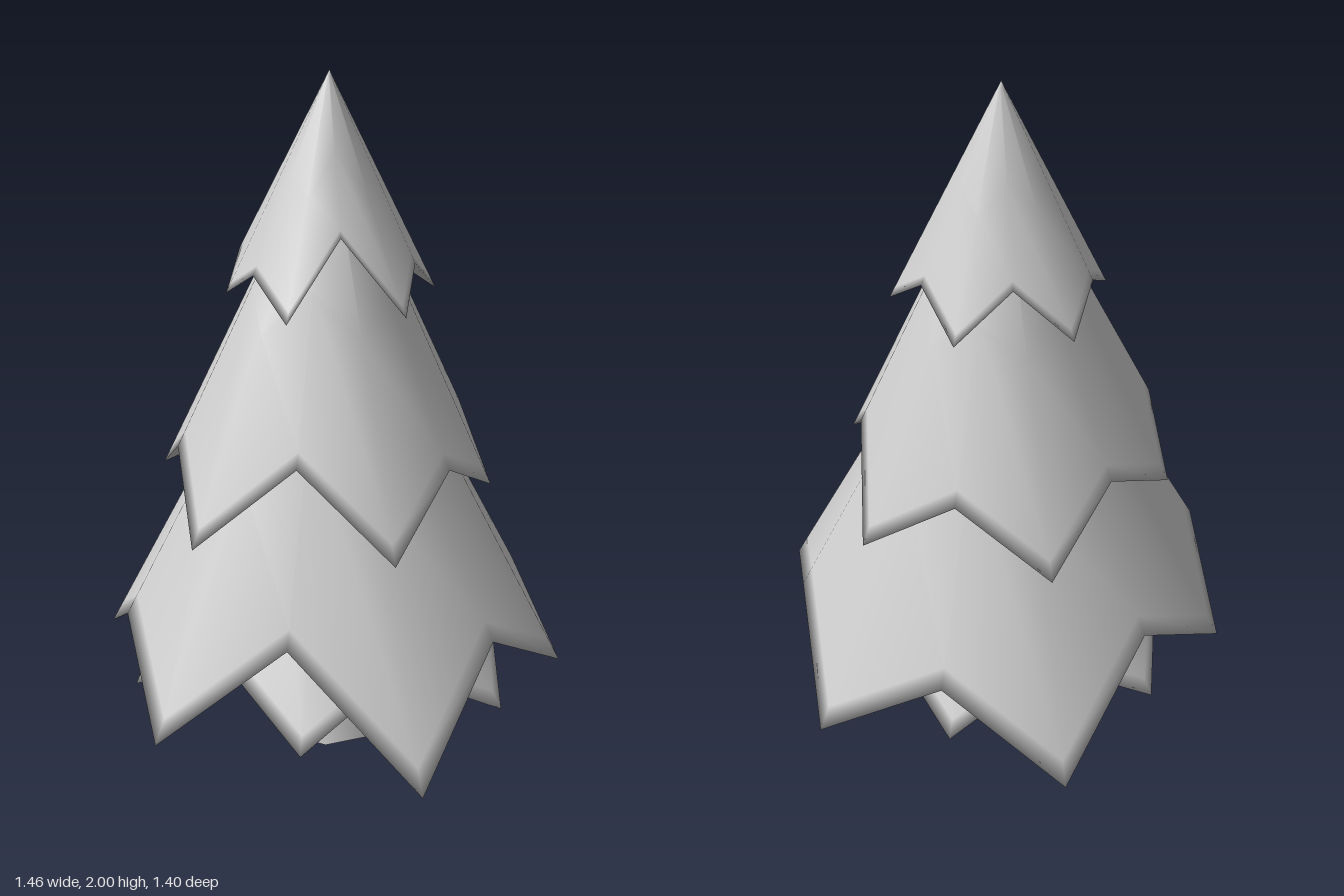
import * as THREE from 'three';

const material = new THREE.MeshStandardMaterial({ color: 0xcccccc });

// Star-shaped cone: rim alternates drooping tips and raised notches, ordered by angle from +x to +z.
function makeTier(name, apexY, hollowY, rim) {
  const n = rim.length;
  const apex = new THREE.Vector3(0, apexY, 0);
  const hollow = new THREE.Vector3(0, hollowY, 0);
  const rimPoints = rim.map((p) => new THREE.Vector3(...p));
  const points = [apex];
  // outer skin rings, ending in a narrow band that rounds over the rim
  for (const t of [0.03, 0.5, 0.95, 1]) {
    for (const p of rimPoints) points.push(apex.clone().lerp(p, t));
  }
  // underside ring and its centre
  for (const p of rimPoints) points.push(p.clone().lerp(hollow, 0.12));
  points.push(hollow);

  const index = [];
  const last = points.length - 1;
  for (let i = 0; i < n; i++) {
    const j = (i + 1) % n;
    index.push(0, 1 + j, 1 + i);
    for (let r = 0; r < 4; r++) {
      const a = 1 + r * n, b = a + n;
      index.push(a + i, a + j, b + i, a + j, b + j, b + i);
    }
    index.push(1 + 4 * n + i, 1 + 4 * n + j, last);
  }
  const geometry = new THREE.BufferGeometry().setFromPoints(points);
  geometry.setIndex(index);
  geometry.computeVertexNormals();
  const mesh = new THREE.Mesh(geometry, material);
  mesh.name = name;
  return mesh;
}

// Regular star rim for the hidden lowest skirt
function starRim(startDegrees, tipRadius, tipY, notchRadius, notchY) {
  return Array.from({ length: 12 }, (_, i) => {
    const angle = THREE.MathUtils.degToRad(startDegrees + i * 30);
    const r = i % 2 ? notchRadius : tipRadius;
    return [r * Math.cos(angle), i % 2 ? notchY : tipY, r * Math.sin(angle)];
  });
}

export function createModel() {
  const tree = new THREE.Group();
  tree.name = 'pineTree';

  // Trunk with a flared foot
  const profile = [[0, 0.01], [0.2, 0.01], [0.2, 0.01], [0.165, 0.12], [0.155, 0.22], [0.165, 0.36], [0.16, 0.6]]
    .map(([r, y]) => new THREE.Vector2(r, y));
  const trunk = new THREE.Mesh(new THREE.LatheGeometry(profile.slice(2), 8), material);
  trunk.name = 'trunk';
  const foot = new THREE.Mesh(new THREE.LatheGeometry([new THREE.Vector2(0, 0), profile[1]], 8), material);
  foot.name = 'trunkFoot';
  tree.add(trunk, foot);

  // Foliage tiers from bottom to top
  tree.add(makeTier('lowerSkirt', 1.2, 0.42, starRim(19, 0.62, 0.25, 0.49, 0.41)));

  tree.add(makeTier('bottomTier', 1.59, 0.62, [
    [0.73, 0.19, -0.11], [0.58, 0.44, 0.23], [0.43, 0.27, 0.56], [0.08, 0.48, 0.6],
    [-0.29, 0.19, 0.7], [-0.43, 0.52, 0.31], [-0.73, 0.25, 0.1], [-0.59, 0.48, -0.22],
    [-0.44, 0.27, -0.54], [-0.1, 0.48, -0.58], [0.27, 0.19, -0.7], [0.48, 0.44, -0.39],
  ]));

  tree.add(makeTier('middleTier', 1.87, 1.1, [
    [0.53, 0.78, -0.08], [0.38, 1.01, 0.16], [0.29, 0.83, 0.38], [0.05, 0.96, 0.44],
    [-0.22, 0.78, 0.51], [-0.34, 1.01, 0.25], [-0.56, 0.78, 0.07], [-0.43, 0.98, -0.16],
    [-0.32, 0.83, -0.39], [-0.07, 0.96, -0.43], [0.19, 0.78, -0.51], [0.35, 0.96, -0.28],
  ]));

  tree.add(makeTier('topTier', 2, 1.6, [
    [0.26, 1.49, 0], [0.265, 1.38, 0.16], [0.12, 1.49, 0.22], [-0.01, 1.38, 0.32],
    [-0.12, 1.59, 0.18], [-0.29, 1.38, 0.155], [-0.275, 1.48, 0], [-0.26, 1.4, -0.14],
    [-0.13, 1.49, -0.24], [-0.01, 1.38, -0.32], [0.11, 1.52, -0.21], [0.265, 1.38, -0.16],
  ]));

  return tree;
}
